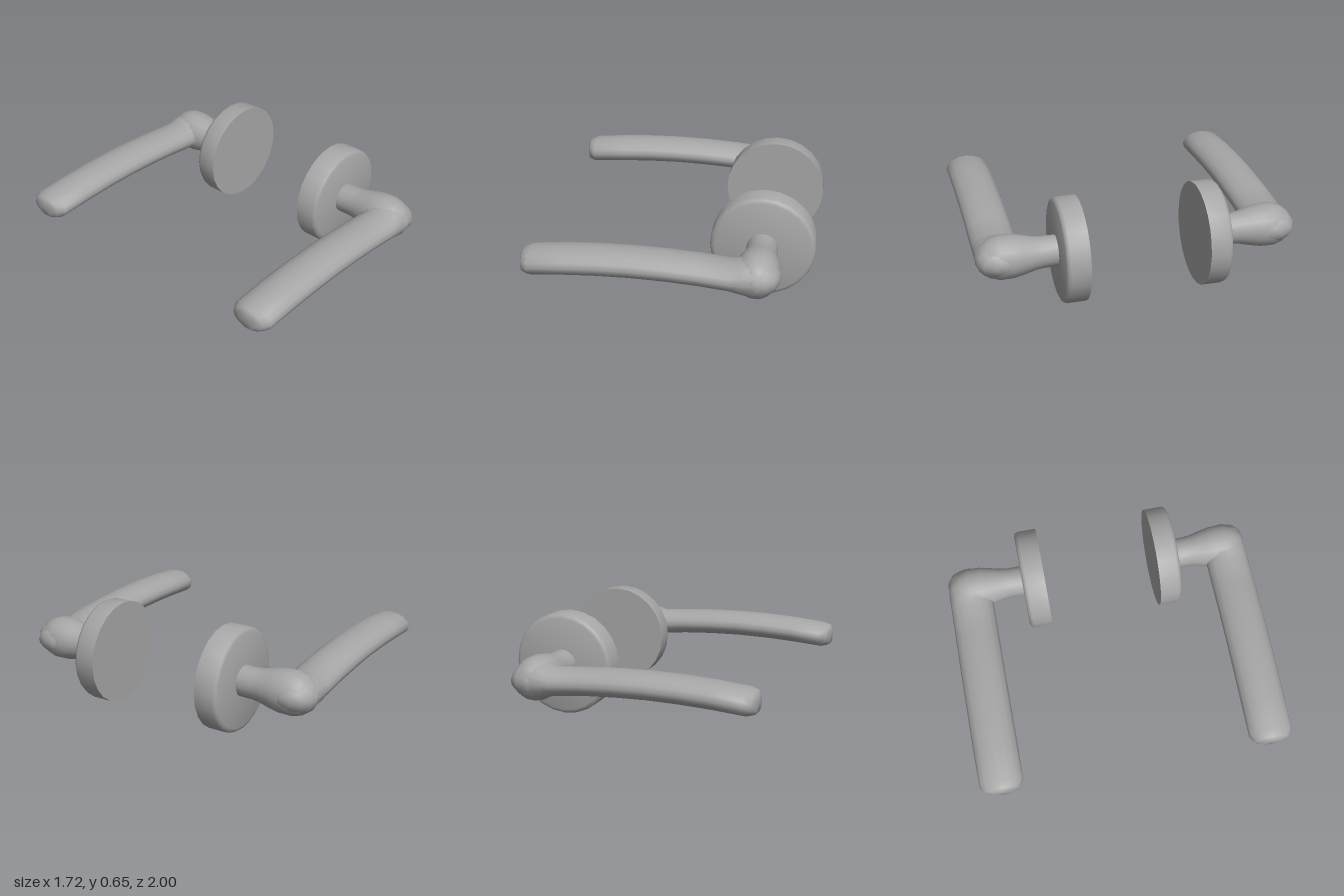
import * as THREE from 'three';
import { toCreasedNormals } from 'three/addons/utils/BufferGeometryUtils.js';

const CX = 0.535, CY = 0.325;   // spindle axis
const GRIP_Z = 0.86;            // grip centre line

// Solid of revolution about the spindle; profile is [radius, z]
function turned(profile, sides) {
  const g = new THREE.LatheGeometry(profile.map(([r, z]) => new THREE.Vector2(r, z)), sides);
  return g.rotateX(Math.PI / 2).translate(CX, CY, 0);
}

// Elliptical loft along x; stations are [x, centre y, half height, half depth]
function lofted(stations, sides) {
  const pos = [], index = [];
  for (const [x, cy, hy, hz] of stations) {
    for (let j = 0; j < sides; j++) {
      const a = (j / sides) * Math.PI * 2;
      pos.push(x, cy + hy * Math.cos(a), GRIP_Z + hz * Math.sin(a));
    }
  }
  for (let i = 0; i < stations.length - 1; i++) {
    for (let j = 0; j < sides; j++) {
      const k = (j + 1) % sides;
      const a = i * sides + j, b = i * sides + k, c = a + sides, d = b + sides;
      index.push(a, b, c, b, d, c);
    }
  }
  const g = new THREE.BufferGeometry();
  g.setAttribute('position', new THREE.Float32BufferAttribute(pos, 3));
  g.setIndex(index);
  return g;
}

// Mirror in z, reversing the triangles so they still face outward
function mirrored(geometry) {
  const g = geometry.clone().scale(1, 1, -1);
  const idx = g.index;
  for (let i = 0; i < idx.count; i += 3) {
    const t = idx.getX(i + 1);
    idx.setX(i + 1, idx.getX(i + 2));
    idx.setX(i + 2, t);
  }
  return g;
}

export function createModel() {
  const satinMetal = new THREE.MeshStandardMaterial({ color: 0xa6a6a6 });
  satinMetal.name = 'satinMetal';

  const parts = {
    // Round plate against the door, with a softened front rim
    rose: turned([
      [0, 0.365], [0.323, 0.365], [0.323, 0.485], [0.315, 0.502], [0.295, 0.51], [0, 0.51],
    ], 24),
    // Neck swelling into the rounded elbow
    neck: turned([
      [0.096, 0.5], [0.097, 0.6], [0.104, 0.65], [0.122, 0.72], [0.134, 0.78],
      [0.136, 0.86], [0.118, 0.92], [0.085, 0.965], [0.03, 0.997], [0, 1.0],
    ], 20),
    // Gently arched flat-oval lever, flaring into the elbow
    grip: lofted([
      [-0.86, 0.33, 0, 0], [-0.857, 0.33, 0.055, 0.06], [-0.843, 0.33, 0.068, 0.108],
      [-0.8, 0.331, 0.08, 0.138], [-0.6, 0.348, 0.082, 0.14], [-0.4, 0.358, 0.082, 0.14],
      [-0.2, 0.361, 0.082, 0.14], [0, 0.356, 0.082, 0.14], [0.2, 0.344, 0.082, 0.14],
      [0.39, 0.326, 0.084, 0.14], [0.45, 0.325, 0.105, 0.14], [0.53, 0.325, 0.125, 0.14],
      [0.6, 0.325, 0.105, 0.135], [0.65, 0.325, 0.065, 0.1], [0.674, 0.325, 0.03, 0.04],
      [0.675, 0.325, 0, 0],
    ], 16),
  };

  const model = new THREE.Group();
  model.name = 'doorHandlePair';
  for (const side of ['front', 'back']) {
    const handle = new THREE.Group();
    handle.name = side + 'Handle';
    for (const [name, geometry] of Object.entries(parts)) {
      const g = side === 'back' ? mirrored(geometry) : geometry;
      const mesh = new THREE.Mesh(toCreasedNormals(g, 1.1), satinMetal);
      mesh.name = name;
      handle.add(mesh);
    }
    model.add(handle);
  }
  return model;
}
